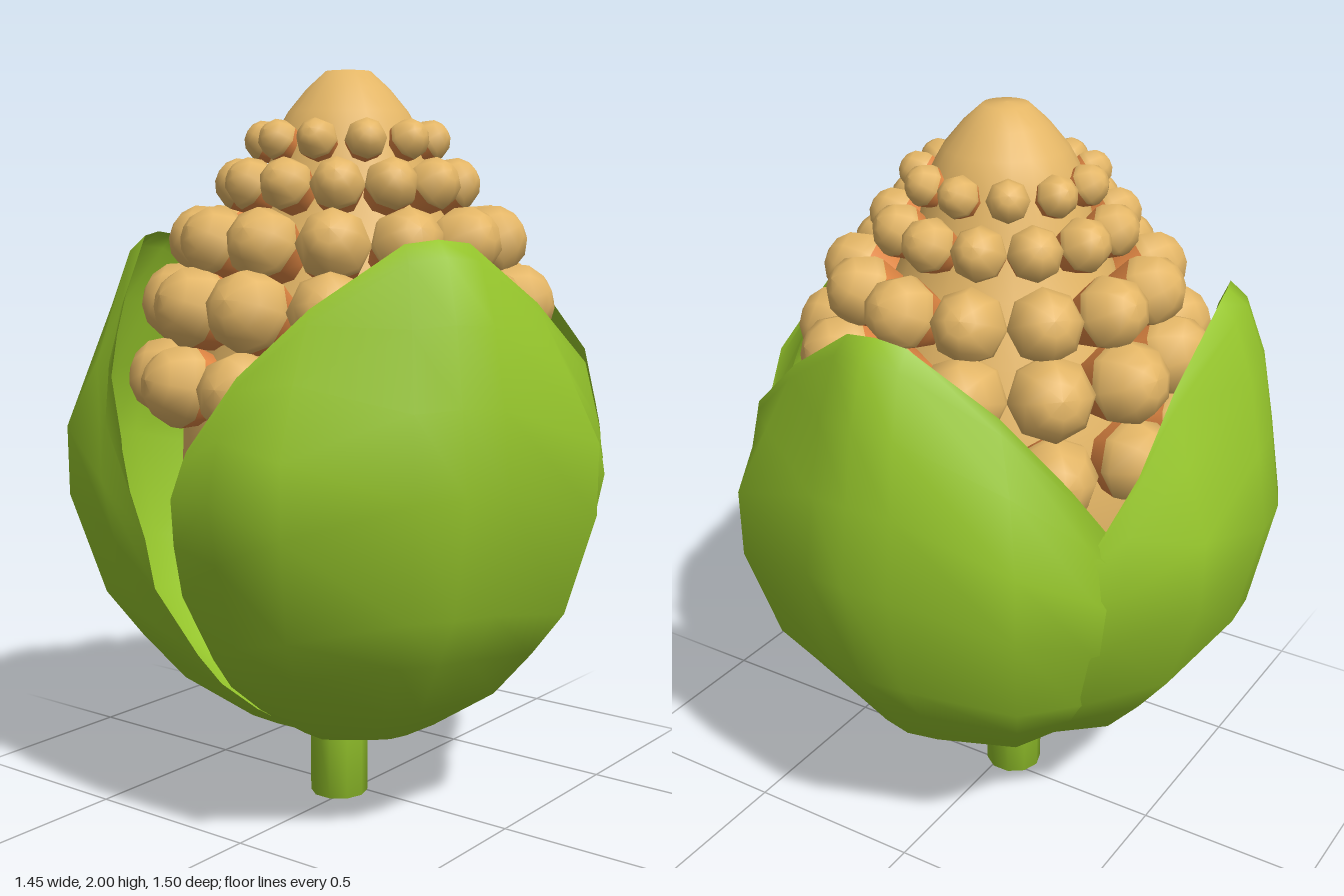
import * as THREE from 'three';

const { degToRad, lerp, mapLinear, smoothstep } = THREE.MathUtils;
const AXIS_X = -0.035;

const husk = new THREE.MeshStandardMaterial({ color: 0x96c62c, side: THREE.DoubleSide });
husk.name = 'huskGreen';
const grain = new THREE.MeshStandardMaterial({ color: 0xe4b666 });
grain.name = 'grainTan';
const root = new THREE.MeshStandardMaterial({ color: 0xe68a45 });
root.name = 'grainRootOrange';

function mesh(name, geometry, material) {
  const m = new THREE.Mesh(geometry, material);
  m.name = name;
  return m;
}

function lathe(points, sides) {
  return new THREE.LatheGeometry(points.map(([r, y]) => new THREE.Vector2(r, y)), sides);
}

// Husk outline: [height, radius]
const PROFILE = [[0.19, 0.11], [0.25, 0.3], [0.39, 0.5], [0.67, 0.69], [0.97, 0.755],
  [1.36, 0.695], [1.53, 0.635], [1.57, 0.58]];

function huskRadius(y) {
  for (let i = 1; i < PROFILE.length; i++) {
    const [y0, r0] = PROFILE[i - 1], [y1, r1] = PROFILE[i];
    if (y <= y1) return mapLinear(y, y0, y1, r0, r1);
  }
  return PROFILE[PROFILE.length - 1][1];
}

// Half of a leaf across: [position, top height, radius factor of the body, of the rim]
const HALF = [[0, 1.57, 1, 1], [0.15, 1.56, 0.99, 0.98], [0.54, 1.41, 1.025, 0.88],
  [0.8, 1.25, 0.94, 0.93], [1, 1.07, 0.91, 0.92]];
const COLUMNS = [...HALF.slice(1).reverse().map(([u, ...rest]) => [-u, ...rest]), ...HALF];
const ROWS = [0, 0.045, 0.145, 0.25, 0.35, 0.57, 0.72, 0.86, 0.97, 1];

// Curved leaf around the cob, facing +z, its rim curling inward
function leafGeometry() {
  const pos = [], index = [], W = COLUMNS.length;
  ROWS.forEach((t, j) => COLUMNS.forEach(([u, top, body, rim], i) => {
    const y = 0.19 + (top - 0.19) * t;
    const halfAngle = 62 + 10 * Math.max(0, 0.5 - t) - 30 * Math.max(0, t - 0.8);
    const a = degToRad(u * halfAngle);
    const tuck = 1 - 0.3 * Math.abs(u) * Math.max(0, 0.4 - t);
    const r = huskRadius(y) * tuck * lerp(body, rim, smoothstep(t, 0.7, 1));
    pos.push(Math.sin(a) * r, y, Math.cos(a) * r);
    if (i < W - 1 && j < ROWS.length - 1) {
      const p = j * W + i;
      index.push(p, p + 1, p + W, p + 1, p + W + 1, p + W);
    }
  }));
  const g = new THREE.BufferGeometry();
  g.setAttribute('position', new THREE.Float32BufferAttribute(pos, 3));
  g.setIndex(index);
  g.computeVertexNormals();
  return g;
}

export function createModel() {
  const model = new THREE.Group();
  model.name = 'cornCob';
  const cob = new THREE.Group();
  cob.name = 'cob';
  cob.position.x = AXIS_X;
  model.add(cob);

  // Core with rounded tip
  cob.add(mesh('core', lathe([[0.08, 0.24], [0.25, 0.32], [0.4, 0.55], [0.46, 0.85], [0.45, 1.1],
    [0.41, 1.25], [0.35, 1.42], [0.285, 1.57], [0.22, 1.72], [0.2, 1.82], [0.16, 1.89],
    [0.11, 1.95], [0.06, 1.995], [0, 2]], 20), grain));

  // Kernels: tan bulb outside, tapered orange root inside, tilted along the cob's slope
  const bulb = lathe([[0.98, -0.1], [0.98, 0.15], [0.75, 0.68], [0.4, 0.93], [0, 1]], 8).rotateX(Math.PI / 2);
  const stub = lathe([[0.35, -2], [0.72, -1], [0.98, -0.1]], 8).rotateX(Math.PI / 2);
  // Height, reach, kernel radius, tilt, count, first angle
  const rings = [[1.812, 0.275, 0.055, 30, 11, -8], [1.698, 0.355, 0.071, 32, 13, -2.5],
    [1.55, 0.48, 0.096, 28, 13, -2.5], [1.385, 0.555, 0.111, 20, 13, -2.5],
    [1.185, 0.595, 0.111, 12, 13, -2.5]];
  rings.forEach(([y, reach, size, tilt, count, start]) => {
    for (let k = 0; k < count; k++) {
      const a = degToRad(start + (360 * k) / count);
      const kernel = new THREE.Group();
      kernel.name = 'kernel';
      kernel.add(mesh('kernelBulb', bulb, grain), mesh('kernelRoot', stub, root));
      kernel.scale.setScalar(size);
      kernel.rotation.set(degToRad(-tilt), a, 0, 'YXZ');
      kernel.position.set(Math.sin(a) * (reach - size), y, Math.cos(a) * (reach - size));
      cob.add(kernel);
    }
  });

  // Three husk leaves
  const leaf = leafGeometry();
  [-31, 90, 195].forEach((angle) => {
    const m = mesh('huskLeaf', leaf, husk);
    m.position.x = AXIS_X;
    m.rotation.y = degToRad(angle);
    model.add(m);
  });

  // Stem and the flared collar where it meets the cob
  const stem = mesh('stem', lathe([[0, 0], [0.08, 0], [0.08, 0.25]], 10), husk);
  stem.position.set(-0.04, 0, -0.03);
  const collar = mesh('collar', lathe([[0.07, 0.188], [0.135, 0.207], [0, 0.25]], 12), root);
  collar.position.set(-0.025, 0, -0.03);
  model.add(stem, collar);

  return model;
}
